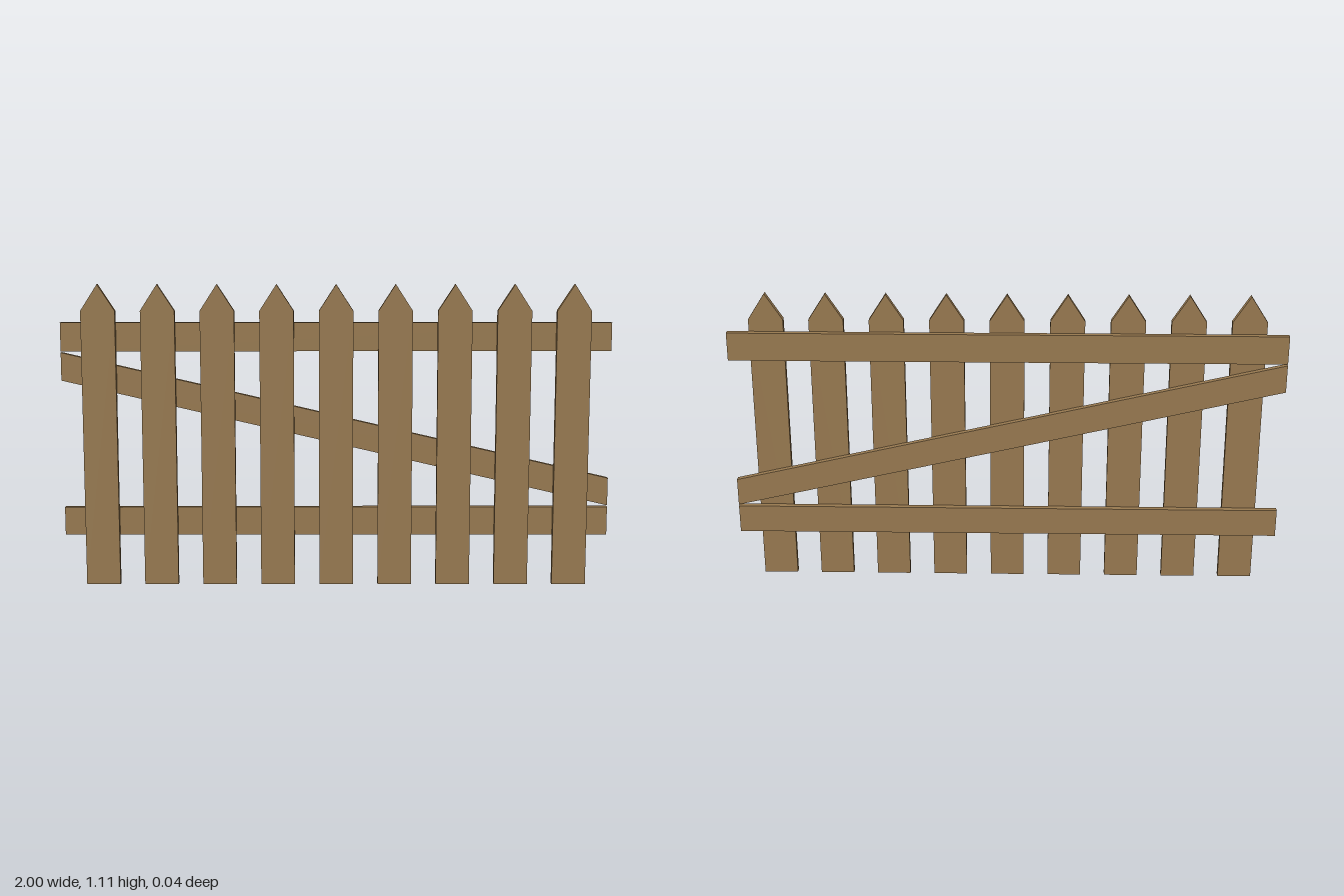
import * as THREE from 'three';

const THICKNESS = 0.022;

export function createModel() {
  const fence = new THREE.Group();
  fence.name = 'picketFence';
  const wood = new THREE.MeshStandardMaterial({ color: 0x96784f });
  wood.name = 'brown wood';

  // Flat board cut from an outline in x and y, with its back face at z
  function addBoard(name, outline, x, z) {
    const shape = new THREE.Shape(outline.map(([px, py]) => new THREE.Vector2(px, py)));
    const geometry = new THREE.ExtrudeGeometry(shape, { depth: THICKNESS, bevelEnabled: false });
    const board = new THREE.Mesh(geometry, wood);
    board.name = name;
    board.position.set(x, 0, z);
    fence.add(board);
  }

  // Nine pointed pickets on the front
  const half = 0.062;
  const picket = [[-half, 0], [half, 0], [half, 1.012], [0, 1.108], [-half, 1.012]];
  for (let i = -4; i <= 4; i++) addBoard(`picket${i + 5}`, picket, i * 0.215, 0);

  // Two level rails and a sloping brace on the back, all with upright ends
  const rail = (left, right, height) =>
    [[-1, left], [1, right], [1, right + height], [-1, left + height]];
  addBoard('topRail', rail(0.864, 0.864, 0.104), 0, -THICKNESS);
  addBoard('bottomRail', rail(0.183, 0.183, 0.104), 0, -THICKNESS);
  addBoard('diagonalBrace', rail(0.757, 0.293, 0.102), 0, -THICKNESS);

  return fence;
}
